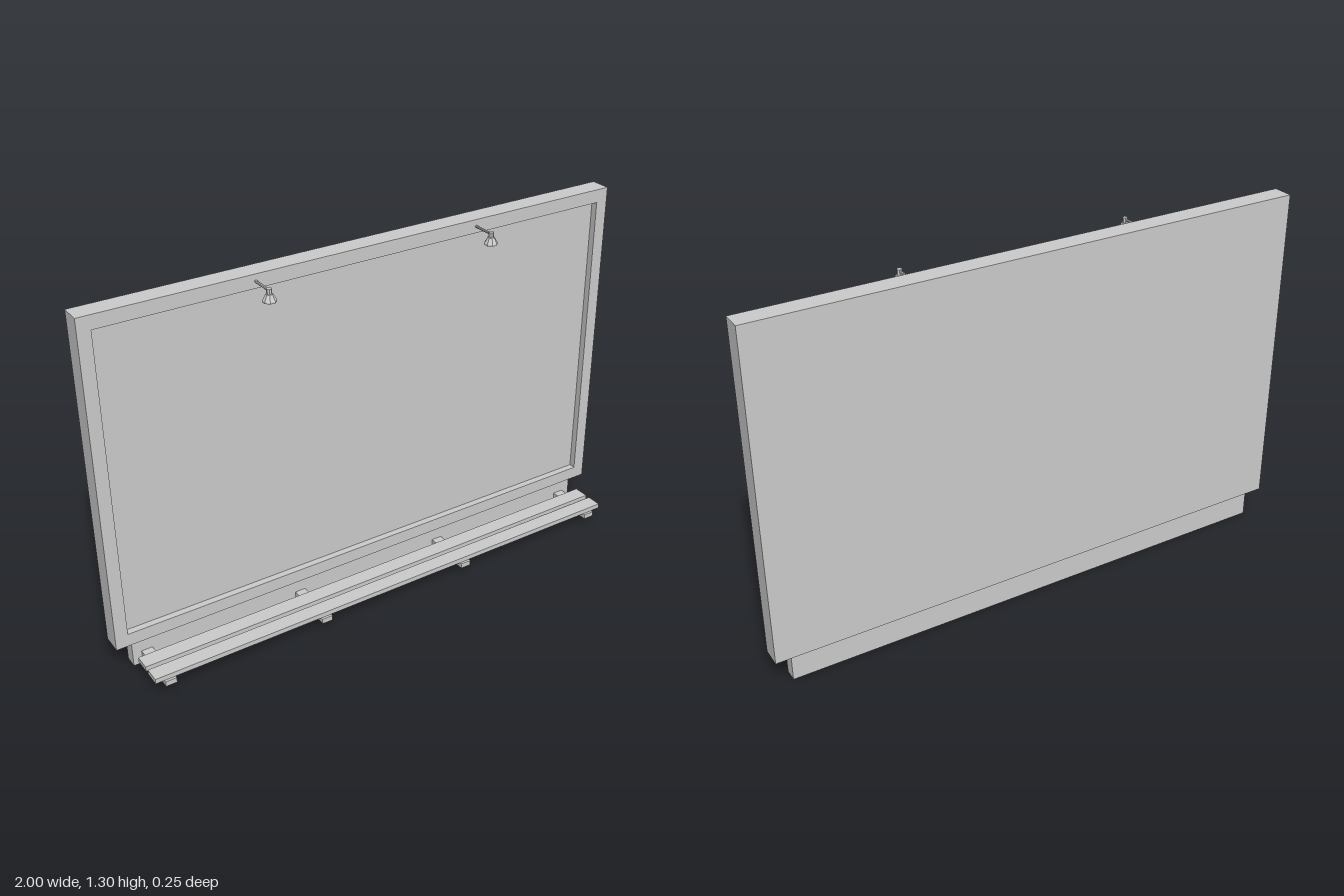
import * as THREE from 'three';

const material = new THREE.MeshStandardMaterial({ color: 0xcccccc, flatShading: true });

export function createModel() {
  const model = new THREE.Group();
  model.name = 'billboard';

  const add = (name, geometry, x = 0, y = 0, z = 0, parent = model) => {
    const mesh = new THREE.Mesh(geometry, material);
    mesh.name = name;
    mesh.position.set(x, y, z);
    parent.add(mesh);
    return mesh;
  };
  // Box given by its limits on each axis
  const box = (name, [x0, x1], [y0, y1], [z0, z1]) =>
    add(name, new THREE.BoxGeometry(x1 - x0, y1 - y0, z1 - z0),
      (x0 + x1) / 2, (y0 + y1) / 2, (z0 + z1) / 2);

  // Raised frame around the recessed display
  const rect = (target, x, y0, y1) => {
    target.moveTo(-x, y0);
    target.lineTo(x, y0);
    target.lineTo(x, y1);
    target.lineTo(-x, y1);
    target.closePath();
    return target;
  };
  const outline = rect(new THREE.Shape(), 1, 0.1, 1.298);
  outline.holes.push(rect(new THREE.Path(), 0.955, 0.147, 1.25));
  add('frame', new THREE.ExtrudeGeometry(outline, { depth: 0.025, bevelEnabled: false }), 0, 0, -0.075);
  box('displayPanel', [-1, 1], [0.1, 1.298], [-0.124, -0.075]);

  // Plinth below the panel
  box('base', [-0.942, 0.942], [0, 0.1], [-0.11, -0.063]);

  // Catwalk: support arms carrying two planks
  for (const x of [-0.89, -0.297, 0.297, 0.89]) {
    box('walkwayArm', [x - 0.02, x + 0.02], [0.03, 0.049], [-0.063, 0.124]);
  }
  box('innerPlank', [-0.941, 0.947], [0.049, 0.067], [-0.017, 0.041]);
  box('outerPlank', [-0.941, 0.947], [0.049, 0.067], [0.058, 0.115]);

  // Lamps on thin arms above the display
  const shadeProfile = [[0, 0], [0.023, 0], [0.023, 0.005], [0.012, 0.025], [0.009, 0.025], [0.009, 0.043], [0, 0.043]]
    .map(([r, y]) => new THREE.Vector2(r, y));
  for (const x of [-0.419, 0.419]) {
    const lamp = new THREE.Group();
    lamp.name = 'lamp';
    lamp.position.set(x, 1.238, 0.033);
    const shade = add('lampShade', new THREE.LatheGeometry(shadeProfile, 8), 0, 0, 0, lamp);
    shade.rotation.y = Math.PI / 8;
    const arm = add('lampArm', new THREE.CylinderGeometry(0.0045, 0.0045, 0.085, 8), 0, 0.036, -0.0425, lamp);
    arm.rotation.x = Math.PI / 2;
    model.add(lamp);
  }
  return model;
}
